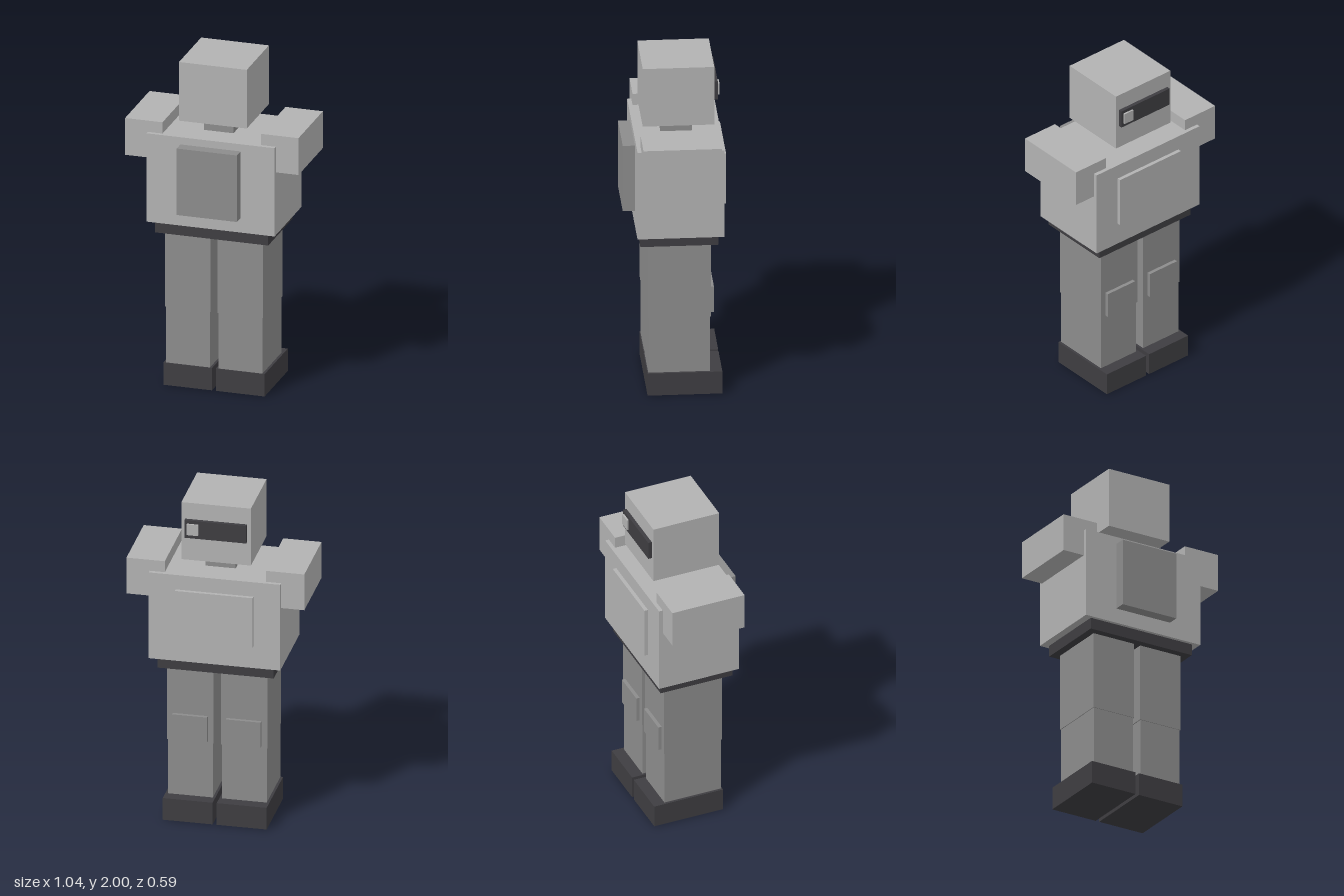
import * as THREE from 'three';

const material = (name, color) => {
  const m = new THREE.MeshStandardMaterial({ color });
  m.name = name;
  return m;
};

export function createModel() {
  const light = material('light grey', 0xb2b2b2);
  const mid = material('mid grey', 0x8c8c8c);
  const dark = material('charcoal', 0x3e3d41);

  const model = new THREE.Group();
  model.name = 'blockFigure';

  // Box given by its extents along each axis
  const block = (parent, name, mat, [x0, x1], [y0, y1], [z0, z1]) => {
    const mesh = new THREE.Mesh(new THREE.BoxGeometry(x1 - x0, y1 - y0, z1 - z0), mat);
    mesh.position.set((x0 + x1) / 2, (y0 + y1) / 2, (z0 + z1) / 2);
    mesh.name = name;
    parent.add(mesh);
  };

  // Head with visor and a small lens; the face looks towards -z
  const head = new THREE.Group();
  head.name = 'head';
  model.add(head);
  block(head, 'skull', light, [-0.204, 0.204], [1.64, 2], [-0.231, 0.18]);
  block(head, 'visor', dark, [-0.181, 0.181], [1.787, 1.898], [-0.253, -0.23]);
  block(head, 'visorLens', light, [0.1, 0.167], [1.81, 1.878], [-0.264, -0.252]);
  block(head, 'neck', mid, [-0.088, 0.088], [1.55, 1.641], [-0.113, 0.07]);

  // Torso with chest plate, backpack and belt
  const body = new THREE.Group();
  body.name = 'body';
  model.add(body);
  block(body, 'torso', light, [-0.386, 0.386], [1.015, 1.557], [-0.275, 0.224]);
  block(body, 'chestPlate', light, [-0.228, 0.228], [1.153, 1.466], [-0.297, -0.274]);
  block(body, 'backpack', mid, [-0.181, 0.181], [1.105, 1.513], [0.223, 0.293]);
  block(body, 'belt', dark, [-0.341, 0.341], [0.947, 1.016], [-0.246, 0.204]);

  // Paired parts, mirrored across x
  for (const [side, s] of [['left', 1], ['right', -1]]) {
    const span = (a, b) => (s > 0 ? [a, b] : [-b, -a]);
    block(body, side + 'Shoulder', light, span(0.297, 0.522), [1.4, 1.626], [-0.252, 0.2]);

    const leg = new THREE.Group();
    leg.name = side + 'Leg';
    model.add(leg);
    block(leg, 'thigh', mid, span(0.021, 0.294), [0.48, 0.948], [-0.204, 0.159]);
    block(leg, 'shin', mid, span(0.026, 0.29), [0.136, 0.481], [-0.2, 0.155]);
    block(leg, 'kneePad', mid, span(0.055, 0.26), [0.492, 0.65], [-0.225, -0.203]);
    block(leg, 'boot', dark, span(0.012, 0.305), [0, 0.137], [-0.27, 0.16]);
  }
  return model;
}
